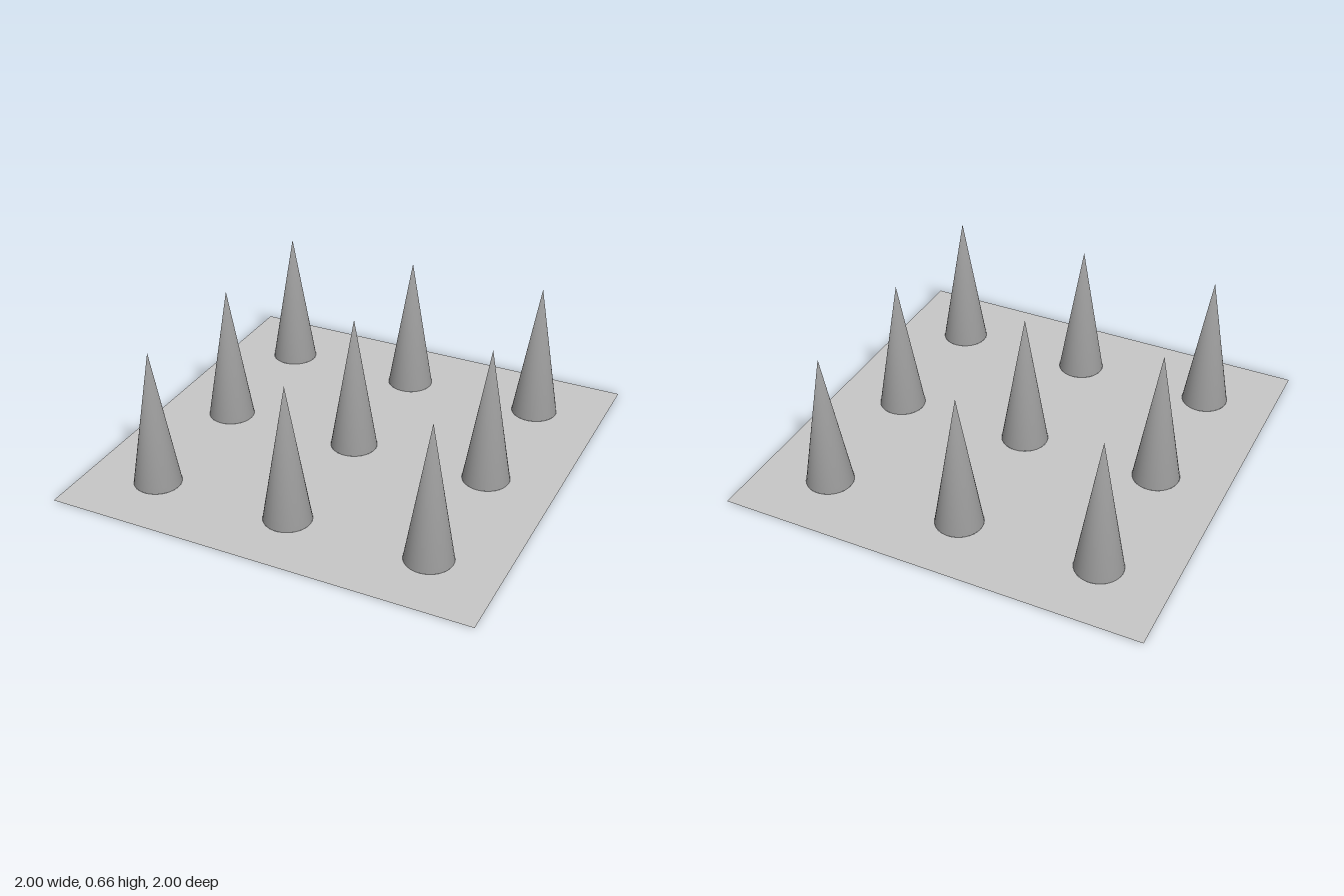
import * as THREE from 'three';
import { mergeVertices } from 'three/addons/utils/BufferGeometryUtils.js';

const RADIUS = 0.11, HEIGHT = 0.66, SPACING = 0.667, SIDES = 32;

const sheetGrey = new THREE.MeshStandardMaterial({ color: 0xc6c6c6, side: THREE.DoubleSide });
sheetGrey.name = 'light grey sheet';
const spikeGrey = new THREE.MeshStandardMaterial({ color: 0x999999, side: THREE.DoubleSide });
spikeGrey.name = 'mid grey spike';

// Hollow cone whose normals blend smoothly up to a shared tip
function spikeGeometry() {
  const cone = new THREE.ConeGeometry(RADIUS, HEIGHT, SIDES, 1, true);
  cone.deleteAttribute('uv');
  cone.deleteAttribute('normal');
  const smooth = mergeVertices(cone, 1e-4);
  smooth.computeVertexNormals();
  return smooth.translate(0, HEIGHT / 2, 0);
}

export function createModel() {
  const model = new THREE.Group();
  model.name = 'spikedSheet';

  // Square outline, pierced under each spike
  const outline = new THREE.Shape([
    new THREE.Vector2(-1, -1), new THREE.Vector2(1, -1),
    new THREE.Vector2(1, 1), new THREE.Vector2(-1, 1),
  ]);

  // Three by three grid of spikes
  const spike = spikeGeometry();
  for (const x of [-SPACING, 0, SPACING]) {
    for (const z of [-SPACING, 0, SPACING]) {
      outline.holes.push(new THREE.Path().absarc(x, -z, RADIUS, 0, Math.PI * 2, true));
      const mesh = new THREE.Mesh(spike, spikeGrey);
      mesh.name = 'spike';
      mesh.position.set(x, 0, z);
      model.add(mesh);
    }
  }

  // Flat base sheet
  const sheet = new THREE.Mesh(new THREE.ShapeGeometry(outline, SIDES).rotateX(-Math.PI / 2), sheetGrey);
  sheet.name = 'baseSheet';
  model.add(sheet);
  return model;
}
